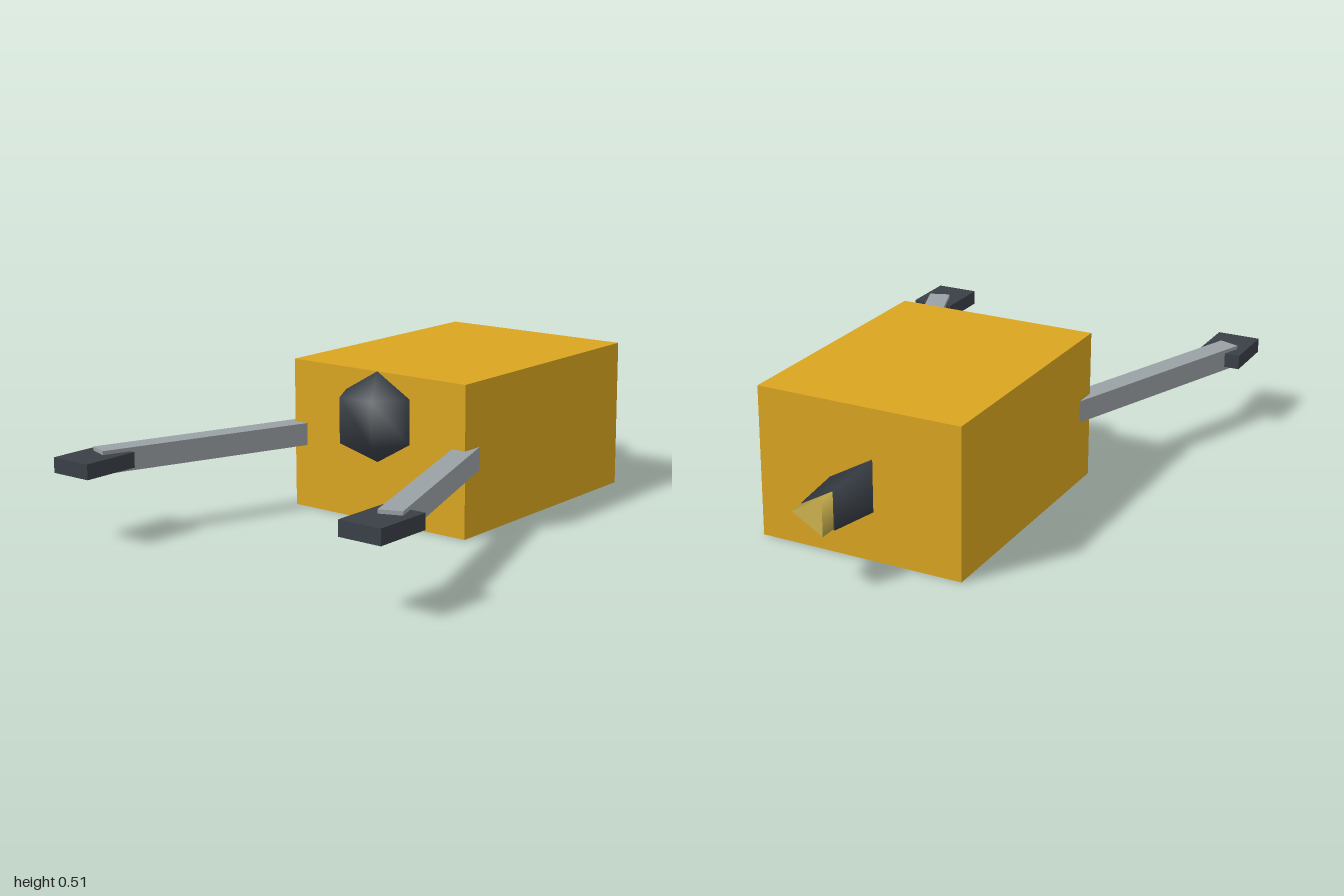
import * as THREE from 'three';

const U = 2 / 39.2; // modelling unit

export function createModel() {
  const model = new THREE.Group();
  model.name = 'boxRobot';

  const material = (name, color) => {
    const m = new THREE.MeshStandardMaterial({ color });
    m.name = name;
    return m;
  };
  const amber = material('amber', 0xdaa520);
  const steel = material('steel', 0x9aa1a6);
  const charcoal = material('charcoal', 0x3a4047);
  const brass = material('brass', 0xcfb550);

  const add = (name, geometry, mat, x, y, z) => {
    const mesh = new THREE.Mesh(geometry, mat);
    mesh.name = name;
    mesh.position.set(x, y, z);
    model.add(mesh);
    return mesh;
  };

  const midY = 5 * U;
  const frontZ = 3.6 * U;
  const backZ = frontZ - 18 * U;

  // Body block
  add('body', new THREE.BoxGeometry(14 * U, 10 * U, 18 * U), amber, 0, midY, frontZ - 9 * U);

  // Faceted head, half sunk into the front
  add('head', new THREE.SphereGeometry(3 * U, 6, 3), charcoal, 0, 7 * U, frontZ);

  // Splayed arms with flat hands
  const splay = THREE.MathUtils.degToRad(20);
  for (const [side, s] of [['left', 1], ['right', -1]]) {
    const arm = add(side + 'Arm', new THREE.BoxGeometry(1.5 * U, 1.5 * U, 16 * U), steel, s * 0.457, midY, 0.489);
    arm.rotation.y = s * splay;
    add(side + 'Hand', new THREE.BoxGeometry(3 * U, U, 4 * U), charcoal, s * 0.587, midY, 1 - 2 * U);
  }

  // Three-sided tail pieces pointing backwards, one ridge towards +x
  const prism = (rEnd, rStart, length) =>
    new THREE.CylinderGeometry(rEnd, rStart, length, 3).rotateX(-Math.PI / 2).rotateZ(-Math.PI / 2);
  add('tailNozzle', prism(1.5 * U, 2 * U, 4 * U), charcoal, 0, midY, backZ - 2 * U);
  add('tailTip', prism(1.4 * U, 1.4 * U, 1.2 * U), brass, 0, midY, backZ - 4.6 * U);

  return model;
}
